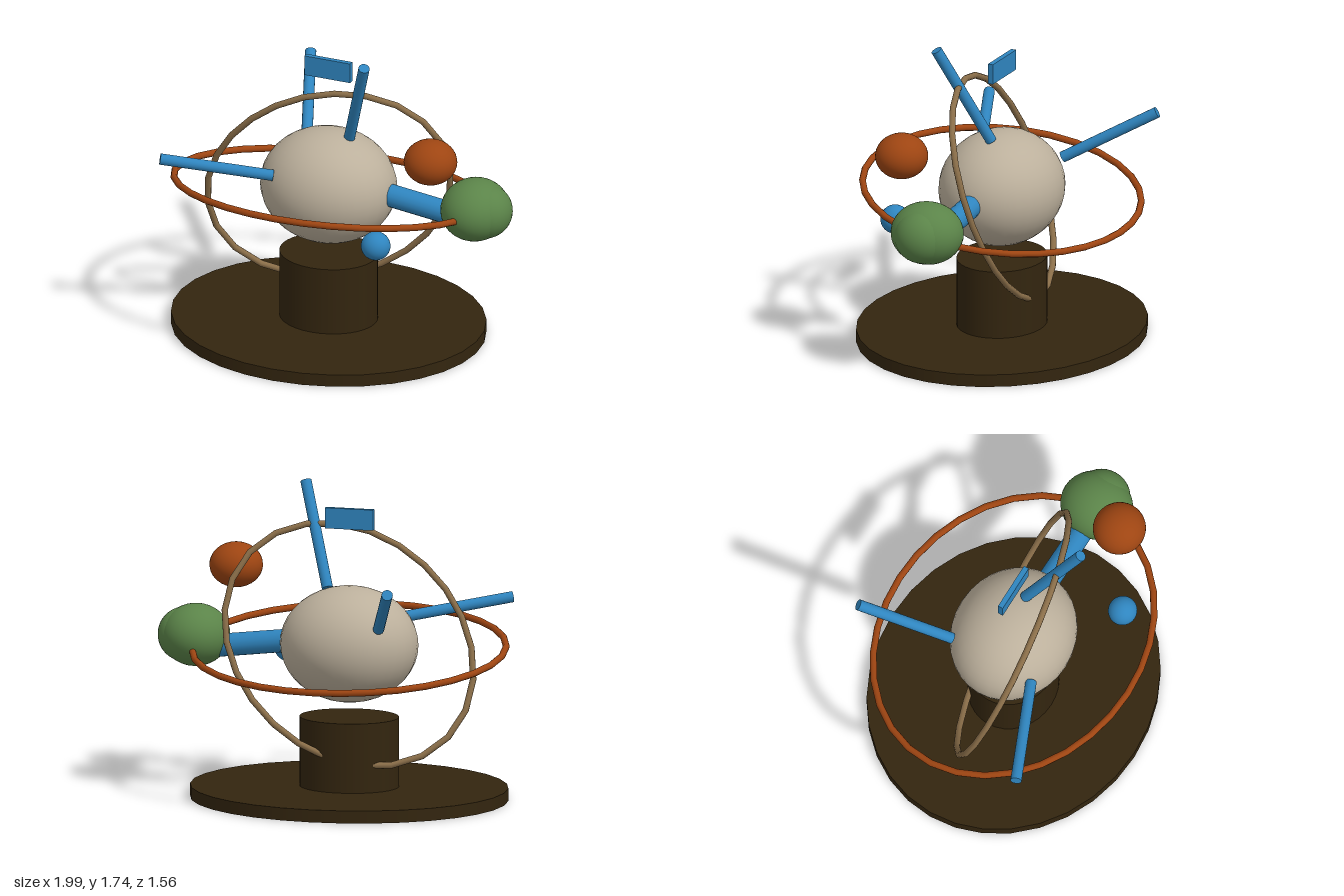
import * as THREE from 'three';

const paint = (name, color) => {
  const m = new THREE.MeshStandardMaterial({ color });
  m.name = name;
  return m;
};

// Closed elliptical loop: centre + a cos t + b sin t
class Loop extends THREE.Curve {
  constructor(centre, a, b) {
    super();
    this.centre = new THREE.Vector3(...centre);
    this.a = new THREE.Vector3(...a);
    this.b = new THREE.Vector3(...b);
  }
  getPoint(t, target = new THREE.Vector3()) {
    const w = t * Math.PI * 2;
    return target.copy(this.centre).addScaledVector(this.a, Math.cos(w)).addScaledVector(this.b, Math.sin(w));
  }
}

export function createModel() {
  const model = new THREE.Group();
  model.name = 'orrery';
  const CX = -0.095;

  const darkWood = paint('dark wood', 0x33250f);
  const stone = paint('pale stone', 0xbcb09c);
  const rust = paint('rust', 0x9e4512);
  const green = paint('green', 0x5b8449);
  const blue = paint('blue', 0x2f85bf);
  const bronze = paint('bronze', 0x8a6e49);

  const add = (name, geometry, material) => {
    const mesh = new THREE.Mesh(geometry, material);
    mesh.name = name;
    model.add(mesh);
    return mesh;
  };
  const ball = (name, material, pos, radii) => {
    const mesh = add(name, new THREE.SphereGeometry(1, 32, 20), material);
    mesh.position.set(...pos);
    mesh.scale.set(...radii);
  };
  const drum = (name, rx, rz, y0, y1) => {
    const mesh = add(name, new THREE.CylinderGeometry(1, 1, y1 - y0, 32), darkWood);
    mesh.position.set(CX, (y0 + y1) / 2, 0);
    mesh.scale.set(rx, 1, rz);
  };
  const rod = (name, from, to, radius) => {
    const a = new THREE.Vector3(...from), b = new THREE.Vector3(...to);
    const dir = b.clone().sub(a);
    const mesh = add(name, new THREE.CylinderGeometry(radius, radius, dir.length(), 16), blue);
    mesh.position.copy(a).add(b).multiplyScalar(0.5);
    mesh.quaternion.setFromUnitVectors(new THREE.Vector3(0, 1, 0), dir.normalize());
  };

  // Oval stand
  drum('base', 0.885, 0.78, 0, 0.07);
  drum('pedestal', 0.277, 0.243, 0.07, 0.458);

  // Globes
  ball('centralGlobe', stone, [CX, 0.863, 0], [0.385, 0.323, 0.34]);
  ball('rustGlobe', rust, [0.623, 1.23, 0.245], [0.148, 0.126, 0.146]);
  ball('smallGlobe', blue, [0.37, 0.75, 0.42], [0.082, 0.08, 0.08]);
  ball('greenGlobe', green, [0.785, 0.872, 0], [0.19, 0.173, 0.205]);
  ball('greenGlobeBulge', green, [0.85, 0.872, 0], [0.146, 0.15, 0.155]);

  // Tilted orbit rings
  add('wideRing', new THREE.TubeGeometry(
    new Loop([CX, 0.838, 0], [0.875, 0, 0], [0, -0.121, -0.735]), 32, 0.019, 10, true), rust);
  add('uprightRing', new THREE.TubeGeometry(
    new Loop([CX, 0.86, -0.005], [0.68, 0.18, -0.11], [0, 0.62, 0.195]), 24, 0.018, 10, true), bronze);

  // Rods reaching out from the central globe
  rod('topRod', [0.03, 1.17, 0], [0.222, 1.72, 0.24], 0.031);
  rod('leftFrontRod', [-0.32, 0.98, 0.25], [-0.89, 1.08, 0.5], 0.031);
  rod('leftBackRod', [-0.335, 1.0, -0.25], [-0.525, 1.285, -0.74], 0.031);
  rod('arm', [0.22, 0.87, 0], [0.7, 0.812, 0], 0.064);

  // Floating plate
  add('plate', new THREE.BoxGeometry(0.275, 0.115, 0.03), blue).position.set(-0.097, 1.563, 0);

  return model;
}
